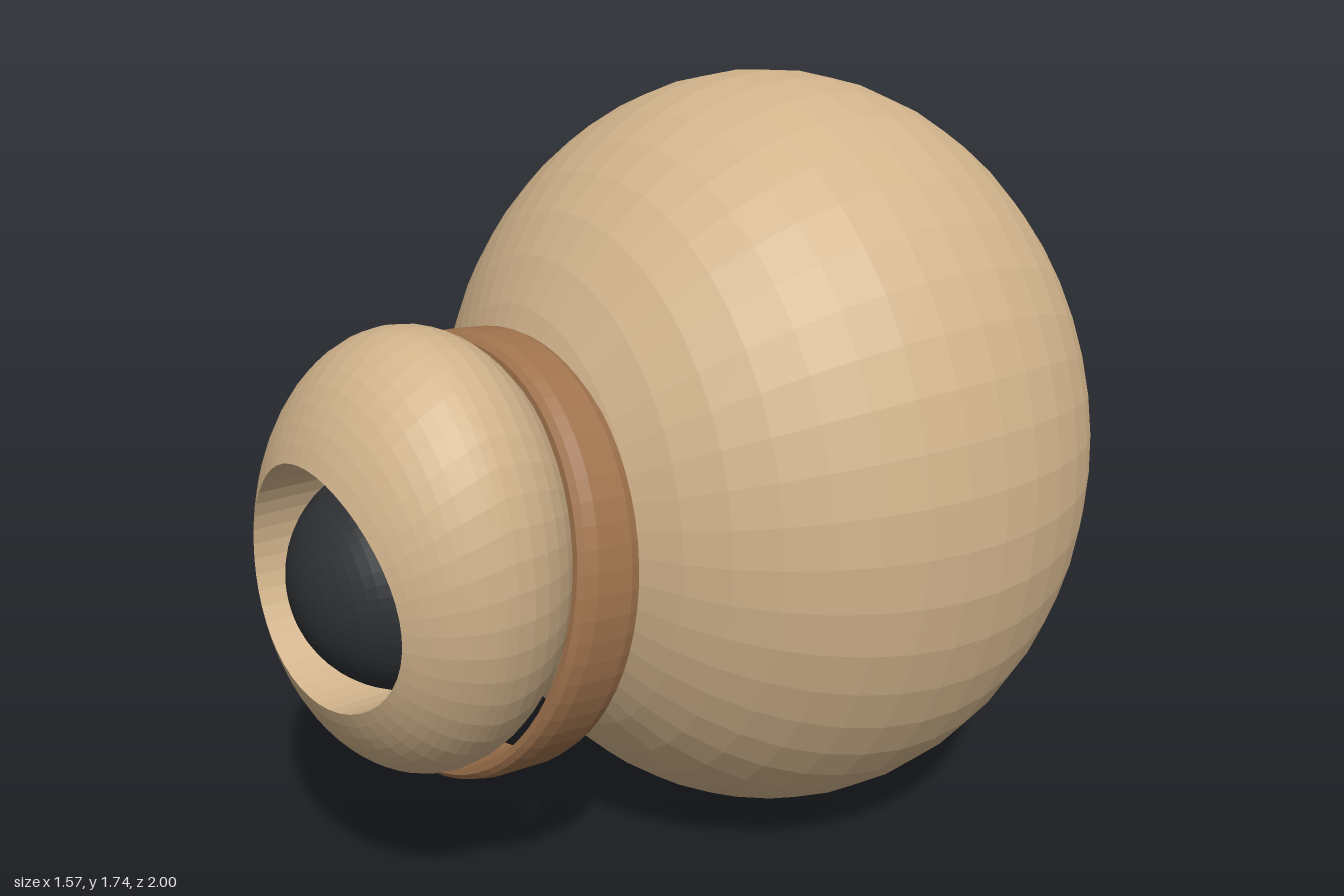
import * as THREE from 'three';

const material = (color, side = THREE.FrontSide) =>
  new THREE.MeshStandardMaterial({ color, side, flatShading: true });

const mix = THREE.MathUtils.lerp;

// Skin rings of points, listed front to back, with u running counter-clockwise seen from +z
function loft(rows, n, point) {
  const positions = [], index = [];
  for (let i = 0; i < rows; i++)
    for (let j = 0; j < n; j++) positions.push(...point(i, (j / n) * Math.PI * 2));
  for (let i = 0; i < rows - 1; i++)
    for (let j = 0; j < n; j++) {
      const k = (j + 1) % n;
      const a = i * n + j, b = a + n, c = (i + 1) * n + k, d = i * n + k;
      index.push(a, b, d, b, c, d);
    }
  const g = new THREE.BufferGeometry();
  g.setAttribute('position', new THREE.Float32BufferAttribute(positions, 3));
  g.setIndex(index);
  g.computeVertexNormals();
  return g;
}

// Ellipsoid with its poles on the z axis
function ellipsoid(rx, ry, rz, w, h) {
  return new THREE.SphereGeometry(1, w, h).rotateX(Math.PI / 2).scale(rx, ry, rz);
}

// Flattened ellipsoid with an off-centre round socket cut into its front
function housingGeometry() {
  const rx = 0.41, ry = 0.5, rz = 0.295;
  const hole = { x: 0.055, y: 0.026, r: 0.255 };
  const frontRows = 10, backRows = 12;
  const socket = [[0, -0.2], [0.6, -0.17], [0.9, -0.08], [1, 0.02]]; // radius share, z
  const rim = (u) => {
    const x = (hole.x + hole.r * Math.cos(u)) / rx;
    const y = (hole.y + hole.r * Math.sin(u)) / ry;
    return new THREE.Vector3(x, y, Math.sqrt(1 - x * x - y * y));
  };
  return loft(socket.length + frontRows + backRows + 1, 48, (i, u) => {
    if (i < socket.length) {
      const [k, z] = socket[i];
      return [hole.x + k * hole.r * Math.cos(u), hole.y + k * hole.r * Math.sin(u), z];
    }
    const s = i - socket.length;
    const p = new THREE.Vector3(Math.cos(u), Math.sin(u), 0);
    if (s < frontRows) {
      p.lerp(rim(u), 1 - s / frontRows).normalize();
    } else {
      const t = ((s - frontRows) / backRows) * Math.PI / 2;
      p.multiplyScalar(Math.cos(t)).setZ(-Math.sin(t));
    }
    return [p.x * rx, p.y * ry, p.z * rz];
  });
}

// Slanted band with bevelled edges, deeper at the bottom than at the top
function collarGeometry() {
  const profile = [ // radius share, depth share (0 rear, 1 front)
    [0.93, 1], [0.96, 1], [0.985, 0.93], [1, 0.75], [1, 0.2],
    [0.985, 0.05], [0.96, 0], [0.93, 0], [0.92, 0.5], [0.93, 1],
  ];
  return loft(profile.length, 64, (i, u) => {
    const [k, t] = profile[i];
    const roll = -0.3, ex = 0.452 * Math.cos(u), ey = 0.492 * Math.sin(u);
    const x = k * (ex * Math.cos(roll) - ey * Math.sin(roll));
    const y = k * (ex * Math.sin(roll) + ey * Math.cos(roll));
    const rear = 0.465 - 0.09 * x - 0.11 * y;
    const front = 0.62 - 0.1 * x - 0.17 * y;
    return [x, y + 0.012 * t, mix(rear, front, t)];
  });
}

export function createModel() {
  const model = new THREE.Group();
  const tan = 0xd2b48c;

  const add = (name, geometry, mat, x, y, z) => {
    const mesh = new THREE.Mesh(geometry, mat);
    mesh.name = name;
    mesh.position.set(x, y, z);
    model.add(mesh);
    return mesh;
  };

  // Large rounded body
  add('body', ellipsoid(0.787, 0.872, 0.75, 48, 24), material(tan), 0, 0.877, -0.25);

  // Brown collar joining body and housing
  add('collar', collarGeometry(), material(0xa0734d, THREE.DoubleSide), -0.008, 0.78, 0);

  // Eye housing, rolled slightly to the side
  const housing = add('eyeHousing', housingGeometry(), material(tan, THREE.DoubleSide), 0.035, 0.843, 0.71);
  housing.rotation.z = -0.32;

  // Dark ball sitting in the socket
  add('eyeball', ellipsoid(0.237, 0.237, 0.237, 48, 32), material(0x2e3033), 0.11, 0.845, 0.763);

  return model;
}
